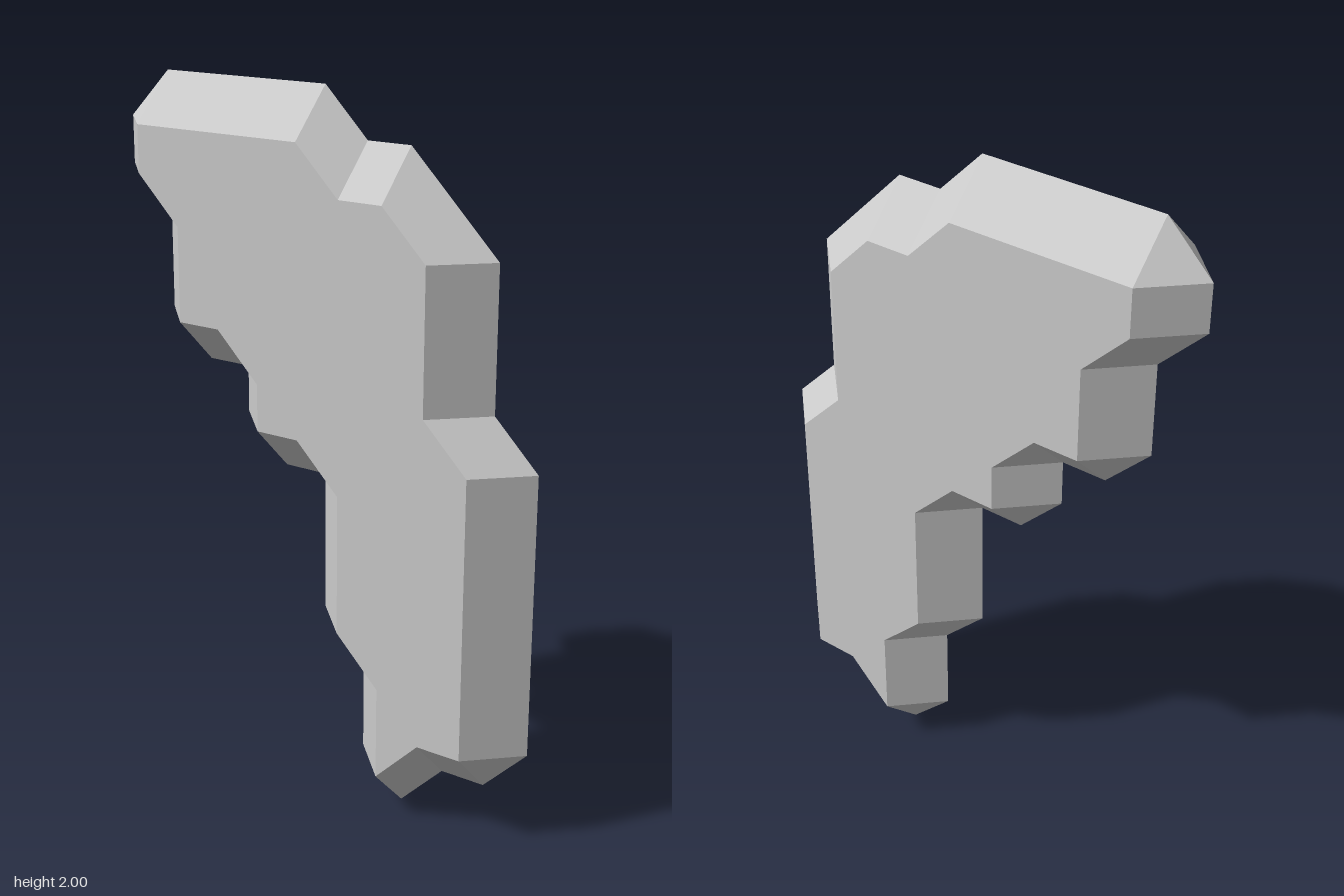
import * as THREE from 'three';

const U = 2 / 15; // grid step that every corner sits on

// Side outline, counter-clockwise as seen from +x: [-z, y] of a flat-face corner,
// followed by the step [d(-z), dy] out to the matching corner on the centre ridge.
const OUTLINE = [
  [4, 14, 0, 1], [0, 14, 0, 1], [-1, 13, 0, 1], [-2, 13, 0, 1],
  [-3, 12, 0, 1], [-3, 12, -1, 0], [-3, 9, -1, 0], [-4, 8, -1, 0],
  [-4, 2, -1, 0], [-4, 2, 0, -1], [-3, 2, 0, -1], [-2, 1, 0, -1],
  [-2, 1, 1, 0], [-2, 3, 1, 0], [-1, 4, 1, 0], [-1, 7, 1, 0],
  [0, 8, 0, -1], [1, 8, 0, -1], [1, 8, 1, 0], [1, 9, 1, 0],
  [2, 10, 0, -1], [3, 10, 0, -1], [3, 10, 1, 0], [3, 12, 1, 0],
  [4, 13, 1, 0], [4, 14, 1, 0],
];

// Flat-shaded mesh from triangles on the +x half, mirrored to the -x half
function mirroredMesh(name, triangles, material) {
  const positions = [];
  for (const [a, b, c] of triangles) {
    for (const p of [a, b, c]) positions.push(p.x, p.y, p.z);
    for (const p of [a, c, b]) positions.push(-p.x, p.y, p.z);
  }
  const geometry = new THREE.BufferGeometry();
  geometry.setAttribute('position', new THREE.Float32BufferAttribute(positions, 3));
  geometry.computeVertexNormals();
  const mesh = new THREE.Mesh(geometry, material);
  mesh.name = name;
  return mesh;
}

export function createModel() {
  const group = new THREE.Group();
  group.name = 'bevelledBlade';
  const material = new THREE.MeshStandardMaterial({ color: 0xcccccc, flatShading: true });

  const face = OUTLINE.map(([a, y]) => new THREE.Vector3(U, y * U, -a * U));
  const ridge = OUTLINE.map(([a, y, da, dy]) => new THREE.Vector3(0, (y + dy) * U, -(a + da) * U));

  // Flat sides: the outline without its repeated corners
  const corners = face.filter((p, i) => !p.equals(face[(i + 1) % face.length]));
  const contour = corners.map((p) => new THREE.Vector2(-p.z, p.y));
  const sides = THREE.ShapeUtils.triangulateShape(contour, [])
    .map((t) => t.map((i) => corners[i]));
  group.add(mirroredMesh('flatSides', sides, material));

  // Bevels: from the flat sides out to the sharp centre ridge
  const bevels = [];
  for (let i = 0; i < face.length; i++) {
    const j = (i + 1) % face.length;
    if (!ridge[i].equals(ridge[j])) bevels.push([ridge[i], ridge[j], face[j]]);
    if (!face[i].equals(face[j])) bevels.push([ridge[i], face[j], face[i]]);
  }
  group.add(mirroredMesh('bevelledEdge', bevels, material));

  return group;
}
